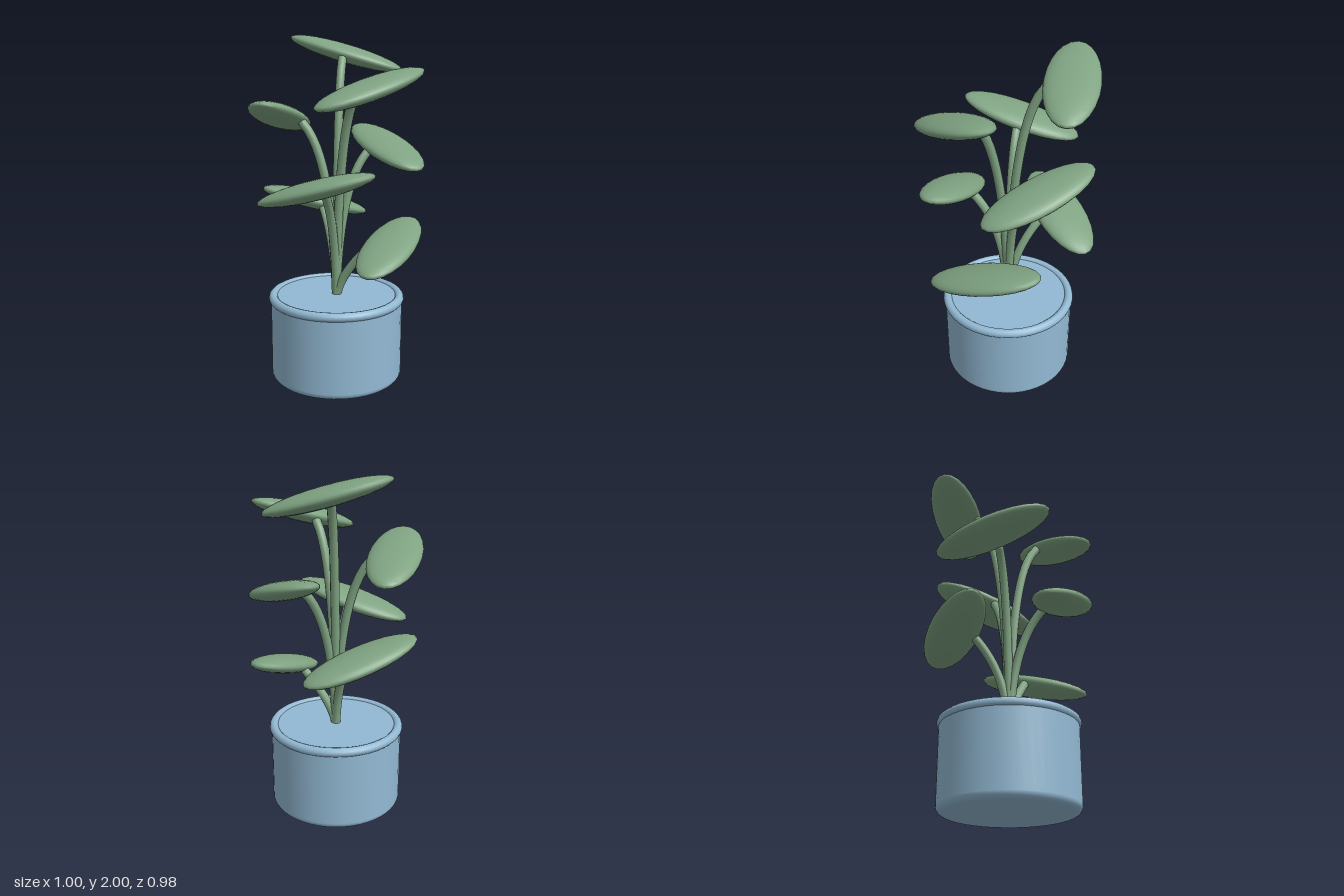
import * as THREE from 'three';

export function createModel() {
  const plant = new THREE.Group();
  plant.name = 'pottedPlant';
  const blue = new THREE.MeshStandardMaterial({ name: 'potBlue', color: 0x92b9d3 });
  const green = new THREE.MeshStandardMaterial({ name: 'leafGreen', color: 0x7fa382 });

  const add = (parent, name, geometry, material, x = 0, y = 0, z = 0) => {
    const mesh = new THREE.Mesh(geometry, material);
    mesh.name = name;
    mesh.position.set(x, y, z);
    parent.add(mesh);
    return mesh;
  };

  // Pot body: a straight wall with a rounded foot
  const R = 0.387, bevel = 0.04;
  const foot = new THREE.Path();
  foot.absarc(R - bevel, bevel, bevel, -Math.PI / 2, 0, false);
  const wall = [...foot.getPoints(4), new THREE.Vector2(R, 0.49)];
  add(plant, 'potWall', new THREE.LatheGeometry(wall, 48), blue);
  const base = new THREE.CircleGeometry(R - bevel, 48).rotateX(Math.PI / 2);
  add(plant, 'potBase', base, blue);

  // Rounded rim and the flat fill inside it
  const rim = new THREE.TorusGeometry(0.371, 0.027, 12, 48).rotateX(Math.PI / 2);
  add(plant, 'potRim', rim, blue, 0, 0.489, 0);
  const fill = new THREE.CircleGeometry(0.365, 48).rotateX(-Math.PI / 2);
  add(plant, 'potFill', fill, blue, 0, 0.503, 0);

  // Leaves climb a golden-angle spiral, each on its own arching stem
  const leafShape = new THREE.SphereGeometry(1, 24, 16).scale(0.15, 0.055, 0.35);
  const tipShape = new THREE.SphereGeometry(0.026, 10, 8);
  for (let i = 0; i < 7; i++) {
    const leafY = 0.83 + i * 0.1768;
    const tipY = leafY - 0.03;
    const branch = new THREE.Group();
    branch.name = 'branch' + (i + 1);
    branch.rotation.y = THREE.MathUtils.degToRad(137.5 * i);
    plant.add(branch);

    const curve = new THREE.QuadraticBezierCurve3(
      new THREE.Vector3(0, 0.48, 0),
      new THREE.Vector3(0.02, tipY - 0.18, 0),
      new THREE.Vector3(0.2, tipY, 0)
    );
    add(branch, 'stem', new THREE.TubeGeometry(curve, 20, 0.026, 10), green);
    add(branch, 'stemTip', tipShape, green, 0.2, tipY, 0);
    add(branch, 'leaf', leafShape, green, 0.332, leafY, 0).rotation.x = 0.28;
  }

  // Balance the leaf spread about the centre
  plant.position.set(-0.004, 0, 0.01);
  const model = new THREE.Group();
  model.name = 'plantModel';
  model.add(plant);
  return model;
}
